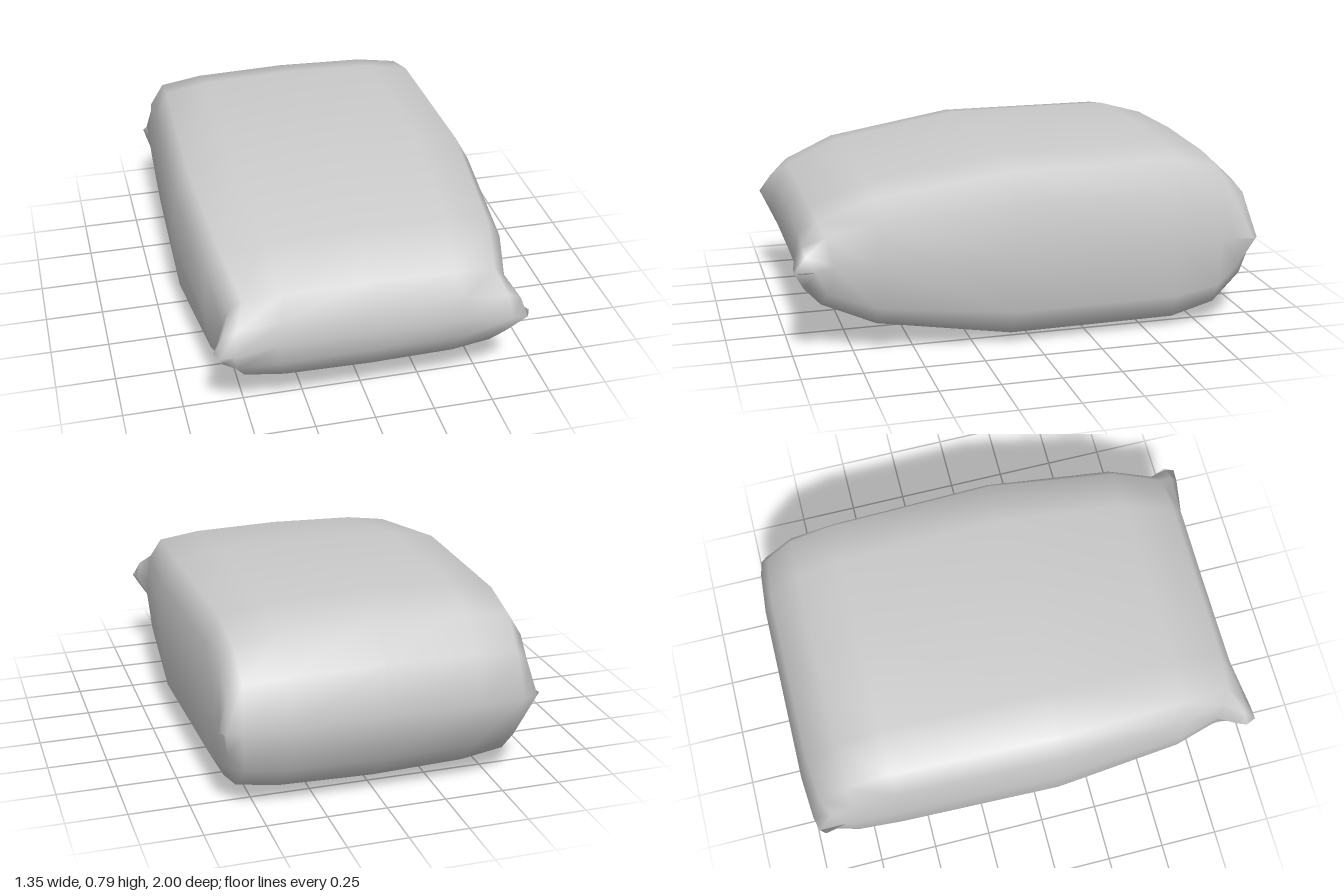
import * as THREE from 'three';
import { mergeVertices } from 'three/addons/utils/BufferGeometryUtils.js';

// Quarter of the rounded-box cross-section: [x factor, y factor], top centre to side
const QUARTER = [[0, 1], [0.6, 0.965], [0.88, 0.88], [0.97, 0.6], [1, 0]];
const MID_Y = 0.4;

// Cross-sections from back seam to front seam: z, half width, half height,
// and a z shift for each quarter point (pulls the seam corners out into ears)
const SECTIONS = [
  { z: -1.0, w: 0.665, h: 0, dz: [0, 0, 0.015, 0.03, 0.055] },
  { z: -0.95, w: 0.645, h: 0.205, dz: [0, 0, 0.02, 0.05, 0.09] },
  { z: -0.81, w: 0.652, h: 0.34 },
  { z: -0.62, w: 0.657, h: 0.396 },
  { z: 0.1, w: 0.677, h: 0.393 },
  { z: 0.66, w: 0.632, h: 0.3 },
  { z: 0.89, w: 0.585, h: 0.2, dz: [0, 0, -0.01, -0.035, -0.06] },
  { z: 0.94, w: 0.63, h: 0.1, dz: [0, 0.003, 0.012, 0.005, -0.03] },
  { z: 0.957, w: 0.647, h: 0, dz: [0, 0.005, 0.035, 0.038, -0.005] },
];

// Full ring, counter-clockwise seen from the front: [sign x, sign y, quarter index]
function ringOrder() {
  const ring = [];
  for (let i = 4; i >= 0; i--) ring.push([1, 1, i]);
  for (let i = 1; i <= 4; i++) ring.push([-1, 1, i]);
  for (let i = 3; i >= 0; i--) ring.push([-1, -1, i]);
  for (let i = 1; i <= 3; i++) ring.push([1, -1, i]);
  return ring;
}

function sackGeometry() {
  const ring = ringOrder();
  const n = ring.length;
  const positions = [];
  const index = [];
  for (const { z, w, h, dz } of SECTIONS) {
    for (const [sx, sy, i] of ring) {
      const [u, v] = QUARTER[i];
      positions.push(sx * u * w, MID_Y + sy * v * h, z + (dz ? dz[i] : 0));
    }
  }
  for (let r = 0; r < SECTIONS.length - 1; r++) {
    for (let i = 0; i < n; i++) {
      const j = (i + 1) % n;
      const a = r * n + i, b = r * n + j, c = b + n, d = a + n;
      index.push(a, b, c, a, c, d);
    }
  }
  const geometry = new THREE.BufferGeometry();
  geometry.setAttribute('position', new THREE.Float32BufferAttribute(positions, 3));
  geometry.setIndex(index);
  // Join the top and bottom halves along the flat end seams
  const merged = mergeVertices(geometry, 1e-4);
  merged.computeVertexNormals();
  return merged;
}

export function createModel() {
  const model = new THREE.Group();
  model.name = 'sack';
  const body = new THREE.Mesh(
    sackGeometry(),
    new THREE.MeshStandardMaterial({ color: 0xcccccc })
  );
  body.name = 'sackBody';
  model.add(body);
  return model;
}
